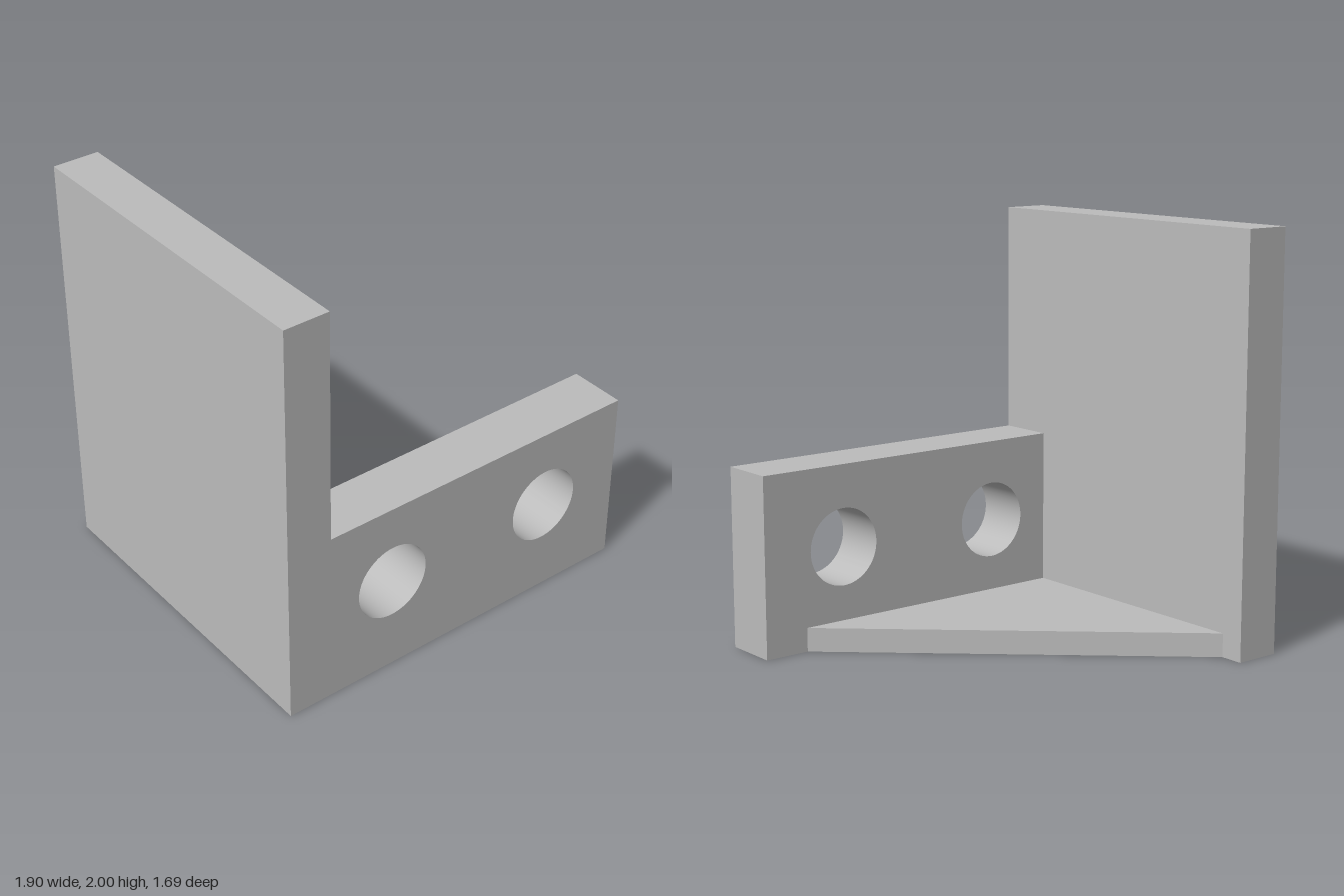
import * as THREE from 'three';
import { toCreasedNormals } from 'three/addons/utils/BufferGeometryUtils.js';

const WALL_LEFT = -0.95, WALL_RIGHT = -0.725;
const FRONT = 0.845, FLANGE_BACK = 0.565;

// Extrudes a shape along +z, smooth in the holes and sharp on the edges
function extrude(shape, depth) {
  const geometry = new THREE.ExtrudeGeometry(shape, { depth, bevelEnabled: false, curveSegments: 48 });
  return toCreasedNormals(geometry, 0.5);
}

function polygon(points) {
  return new THREE.Shape(points.map(([x, y]) => new THREE.Vector2(x, y)));
}

export function createModel() {
  const group = new THREE.Group();
  group.name = 'mountingBracket';
  const metal = new THREE.MeshStandardMaterial({ color: 0xbcbcbc });
  metal.name = 'grey metal';

  const add = (name, geometry) => {
    const mesh = new THREE.Mesh(geometry, metal);
    mesh.name = name;
    group.add(mesh);
    return mesh;
  };

  // Tall side plate
  const wall = add('sidePlate', new THREE.BoxGeometry(WALL_RIGHT - WALL_LEFT, 2, 2 * FRONT));
  wall.position.set((WALL_LEFT + WALL_RIGHT) / 2, 1, 0);

  // Front flange with two through holes
  const flangeShape = polygon([[WALL_RIGHT, 0], [0.95, 0], [0.95, 0.873], [WALL_RIGHT, 0.873]]);
  for (const x of [-0.385, 0.51]) {
    const hole = new THREE.Path();
    hole.absarc(x, 0.474, 0.188, 0, Math.PI * 2, true);
    flangeShape.holes.push(hole);
  }
  const flange = add('frontFlange', extrude(flangeShape, FRONT - FLANGE_BACK));
  flange.position.z = FLANGE_BACK;

  // Triangular floor web bracing the two plates, drawn in x and -z
  const webShape = polygon([[WALL_RIGHT, -FLANGE_BACK], [0.725, -FLANGE_BACK], [WALL_RIGHT, 0.73]]);
  const web = add('cornerWeb', extrude(webShape, 0.115));
  web.rotation.x = -Math.PI / 2;

  return group;
}
